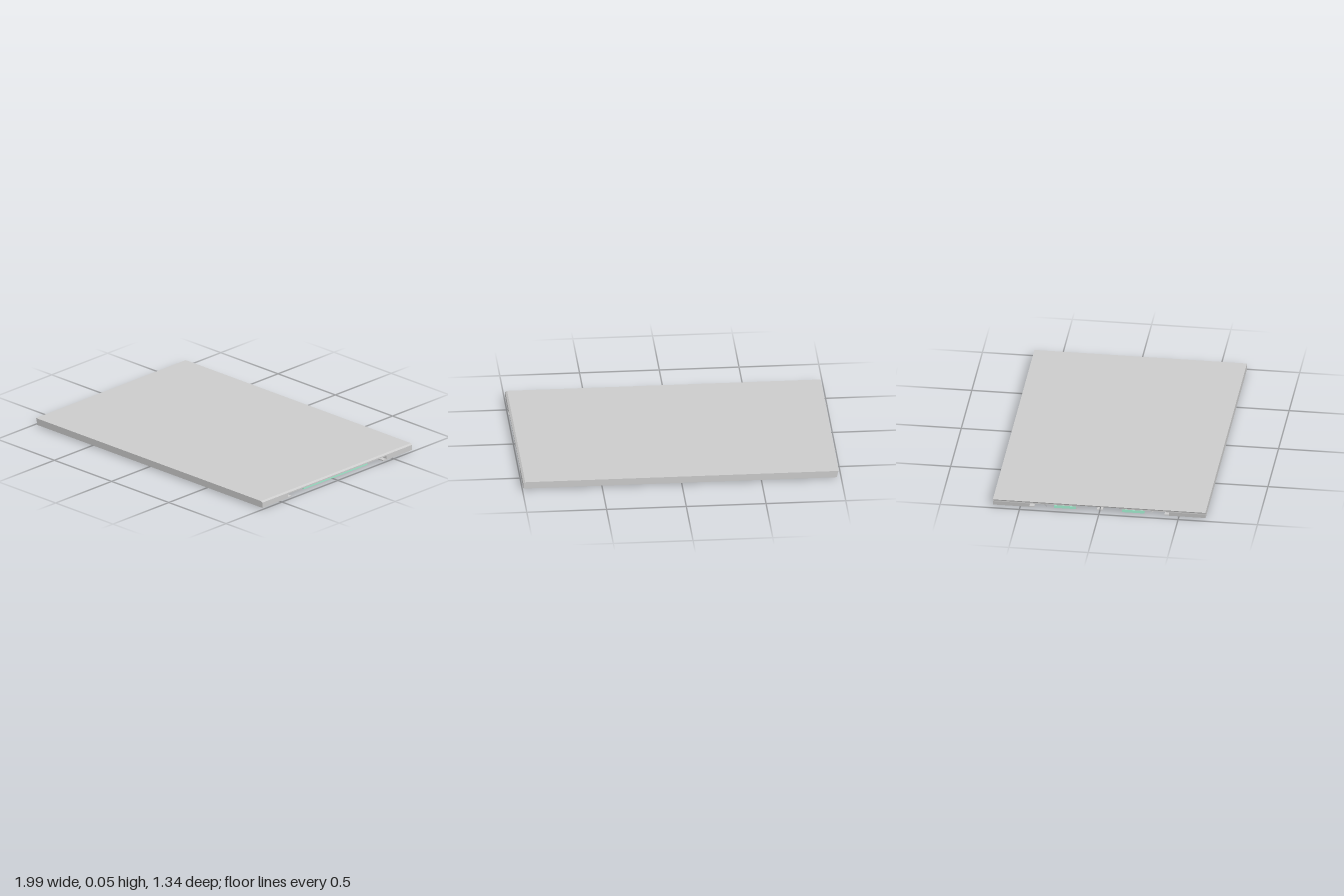
import * as THREE from 'three';

const grey = new THREE.MeshStandardMaterial({ color: 0xcccccc, flatShading: true });
const green = new THREE.MeshStandardMaterial({ color: 0xa0eacc, flatShading: true });

const toShape = (pts) => new THREE.Shape(pts.map(([x, y]) => new THREE.Vector2(x, y)));

export function createModel() {
  const model = new THREE.Group();
  const add = (name, geometry, material = grey) => {
    const mesh = new THREE.Mesh(geometry, material);
    mesh.name = name;
    model.add(mesh);
    return mesh;
  };

  // side outline (x, y) drawn through from z0 to z1
  const extrudeZ = (name, pts, z0, z1) => {
    const g = new THREE.ExtrudeGeometry(toShape(pts), { depth: z1 - z0, bevelEnabled: false });
    return add(name, g.translate(0, 0, z0));
  };

  // plan outline (x, -z) raised from y0 to y1
  const plate = (name, pts, y0, y1, material) => {
    const g = new THREE.ExtrudeGeometry(toShape(pts), { depth: y1 - y0, bevelEnabled: false });
    return add(name, g.rotateX(-Math.PI / 2).translate(0, y0, 0), material);
  };

  const box = (name, x0, x1, y0, y1, z0, z1, material) => {
    const g = new THREE.BoxGeometry(x1 - x0, y1 - y0, z1 - z0);
    return add(name, g.translate((x0 + x1) / 2, (y0 + y1) / 2, (z0 + z1) / 2), material);
  };

  // flat top skin with a chamfer along the left end
  extrudeZ('topPanel', [
    [-0.98, 0.043], [0.994, 0.043], [0.982, 0.051], [-0.984, 0.051],
  ], -0.67, 0.67);

  // underlayer and cover share a slot that is open at the right end
  const slotted = (x0, x1, w) => [
    [x0, -w], [x1, -w], [x1, w], [x0, w],
    [x0, 0.145], [0.54, 0.145], [0.54, -0.145], [x0, -0.145],
  ];
  plate('underlayer', slotted(-0.978, 0.994, 0.67), 0.035, 0.043);
  plate('undersideCover', slotted(-0.98, 0.98, 0.285), 0.017, 0.035, green);

  for (const s of [-1, 1]) {
    const span = (a, b) => (s > 0 ? [a, b] : [-b, -a]);

    // thick side runner with its overhanging lip
    extrudeZ('sideRunner', [
      [-0.972, 0.008], [0.994, 0.008], [0.994, 0.035], [-0.977, 0.035],
    ], ...span(0.44, 0.67));
    box('runnerLip', -0.972, 0.994, 0.008, 0.015, ...span(0.41, 0.44));

    // grey lining on the slot walls
    box('slotWall', -0.98, 0.54, 0.017, 0.043, ...span(0.142, 0.146));

    // thin pointed tab at the right end
    const tab = [[-0.89, s * 0.4], [-1, s * 0.325], [-0.97, s * 0.35]];
    plate('endTab', tab, 0.033, 0.036);
  }

  // centre rail carried by four hangers
  for (const z of [-0.011, 0.011]) {
    box('centreRailStrip', -0.95, 0.71, 0.003, 0.009, z - 0.007, z + 0.007);
  }
  for (let i = 0; i < 4; i++) {
    const x = 0.48 - i * 0.445;
    box('railHanger', x - 0.03, x + 0.03, 0, 0.043, -0.016, 0.016);
  }

  return model;
}
